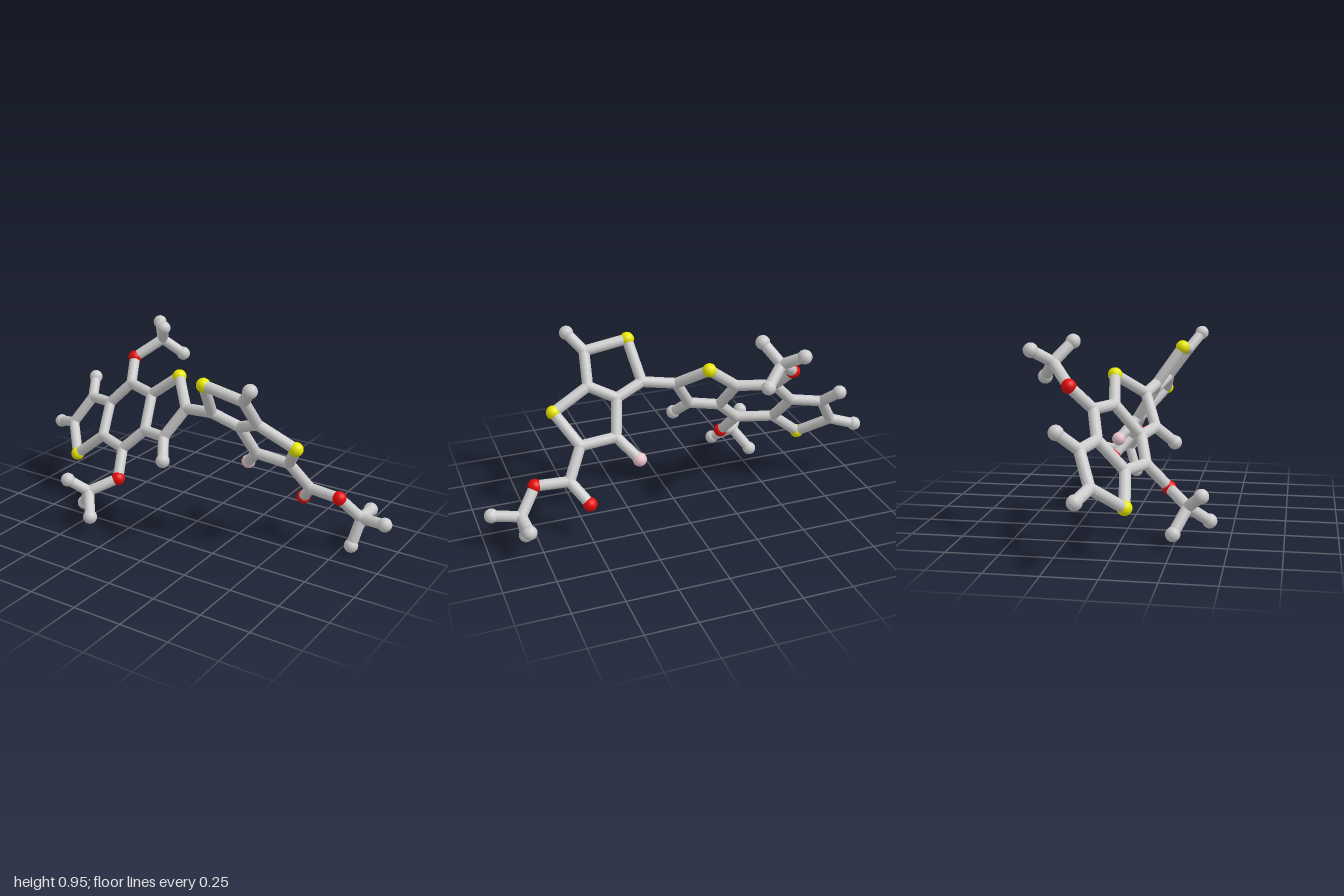
import * as THREE from 'three';

const BOND_RADIUS = 0.027;
const BALL_RADIUS = 0.035;

// Each atom kind: mesh name, ball radius, colour
const KINDS = {
  C: ['carbonJoint', 0.028, 0xcccccc],
  H: ['hydrogenBall', BALL_RADIUS, 0xcccccc],
  S: ['sulfurBall', BALL_RADIUS, 0xe8e800],
  O: ['oxygenBall', BALL_RADIUS, 0xe60a0a],
  F: ['fluorineBall', BALL_RADIUS, 0xe8c4cc],
};

// Every part of the molecule: atoms as label: [x, y, z] (first letter = kind)
const PARTS = {
  fusedThreeRingCore: {
    S1: [-0.158, 0.738, -0.078], C2: [-0.033, 0.632, 0.053], C3: [-0.126, 0.482, 0.115],
    C3a: [-0.275, 0.468, 0.068], C7a: [-0.313, 0.62, -0.053], C4: [-0.388, 0.358, 0.108],
    C4a: [-0.567, 0.366, 0.04], C8a: [-0.604, 0.508, -0.08], C8: [-0.49, 0.626, -0.118],
    S5: [-0.725, 0.236, 0.064], C6: [-0.848, 0.35, -0.065], C7: [-0.758, 0.494, -0.127],
    H3: [-0.072, 0.397, 0.203], H6: [-0.97, 0.318, -0.104], H7: [-0.805, 0.576, -0.218],
  },
  lowerMethoxy: {
    O4: [-0.345, 0.238, 0.21], C9: [-0.457, 0.178, 0.311],
    H9a: [-0.532, 0.25, 0.38], H9b: [-0.377, 0.094, 0.406], H9c: [-0.537, 0.07, 0.2525],
  },
  upperMethoxy: {
    O8: [-0.537, 0.735, -0.22], C10: [-0.425, 0.828, -0.318],
    H10a: [-0.361, 0.918, -0.237], H10b: [-0.5, 0.89, -0.403], H10c: [-0.334, 0.748, -0.378],
  },
  fusedTwoRingUnit: {
    C11: [0.136, 0.655, 0.083], S12: [0.168, 0.838, 0.21], C13: [0.388, 0.803, 0.216],
    C14: [0.404, 0.66, 0.112], C15: [0.275, 0.602, 0.055], S16: [0.591, 0.566, 0.077],
    C17: [0.495, 0.427, -0.045], C18: [0.313, 0.441, -0.043],
    F18: [0.222, 0.344, -0.129], H13: [0.457, 0.884, 0.28],
  },
  methylEster: {
    C19: [0.575, 0.287, -0.122], O20: [0.5, 0.19, -0.203], O21: [0.741, 0.284, -0.101],
    C22: [0.83, 0.173, -0.172],
    H22a: [0.965, 0.188, -0.139], H22b: [0.82, 0.162, -0.305], H22c: [0.805, 0.037, -0.127],
  },
};

// Chains of bonded atoms
const CHAINS = [
  'S1 C2 C3 C3a C7a S1', 'C3a C4 C4a C8a C8 C7a', 'C4a S5 C6 C7 C8a',
  'C3 H3', 'C6 H6', 'C7 H7',
  'C4 O4 C9 H9a', 'H9b C9 H9c', 'C8 O8 C10 H10a', 'H10b C10 H10c',
  'C2 C11 S12 C13 C14 C15 C11', 'C14 S16 C17 C18 C15', 'C18 F18', 'C13 H13',
  'C17 C19 O21 C22 H22a', 'C19 O20', 'H22b C22 H22c',
];

const UP = new THREE.Vector3(0, 1, 0);

function makeBond(a, b, material) {
  const dir = b.clone().sub(a);
  const geometry = new THREE.CylinderGeometry(BOND_RADIUS, BOND_RADIUS, dir.length(), 18, 1);
  const bond = new THREE.Mesh(geometry, material);
  bond.name = 'bond';
  bond.position.copy(a).add(b).multiplyScalar(0.5);
  bond.quaternion.setFromUnitVectors(UP, dir.normalize());
  return bond;
}

export function createModel() {
  const model = new THREE.Group();
  model.name = 'molecule';
  const materials = {};
  const balls = {};
  for (const [kind, [, radius, color]] of Object.entries(KINDS)) {
    materials[kind] = new THREE.MeshStandardMaterial({ color });
    balls[kind] = new THREE.SphereGeometry(radius, 24, 16);
  }

  // Atoms, grouped by part
  const points = {};
  const groups = {};
  for (const [partName, atoms] of Object.entries(PARTS)) {
    const group = new THREE.Group();
    group.name = partName;
    for (const [label, xyz] of Object.entries(atoms)) {
      const kind = label[0];
      const ball = new THREE.Mesh(balls[kind], materials[kind]);
      ball.name = KINDS[kind][0];
      ball.position.set(...xyz);
      points[label] = ball.position;
      groups[label] = group;
      group.add(ball);
    }
    model.add(group);
  }

  // Bonds along each chain
  for (const chain of CHAINS) {
    const labels = chain.split(' ');
    for (let i = 1; i < labels.length; i++) {
      const [from, to] = [labels[i - 1], labels[i]];
      groups[to].add(makeBond(points[from], points[to], materials.C));
    }
  }
  return model;
}
